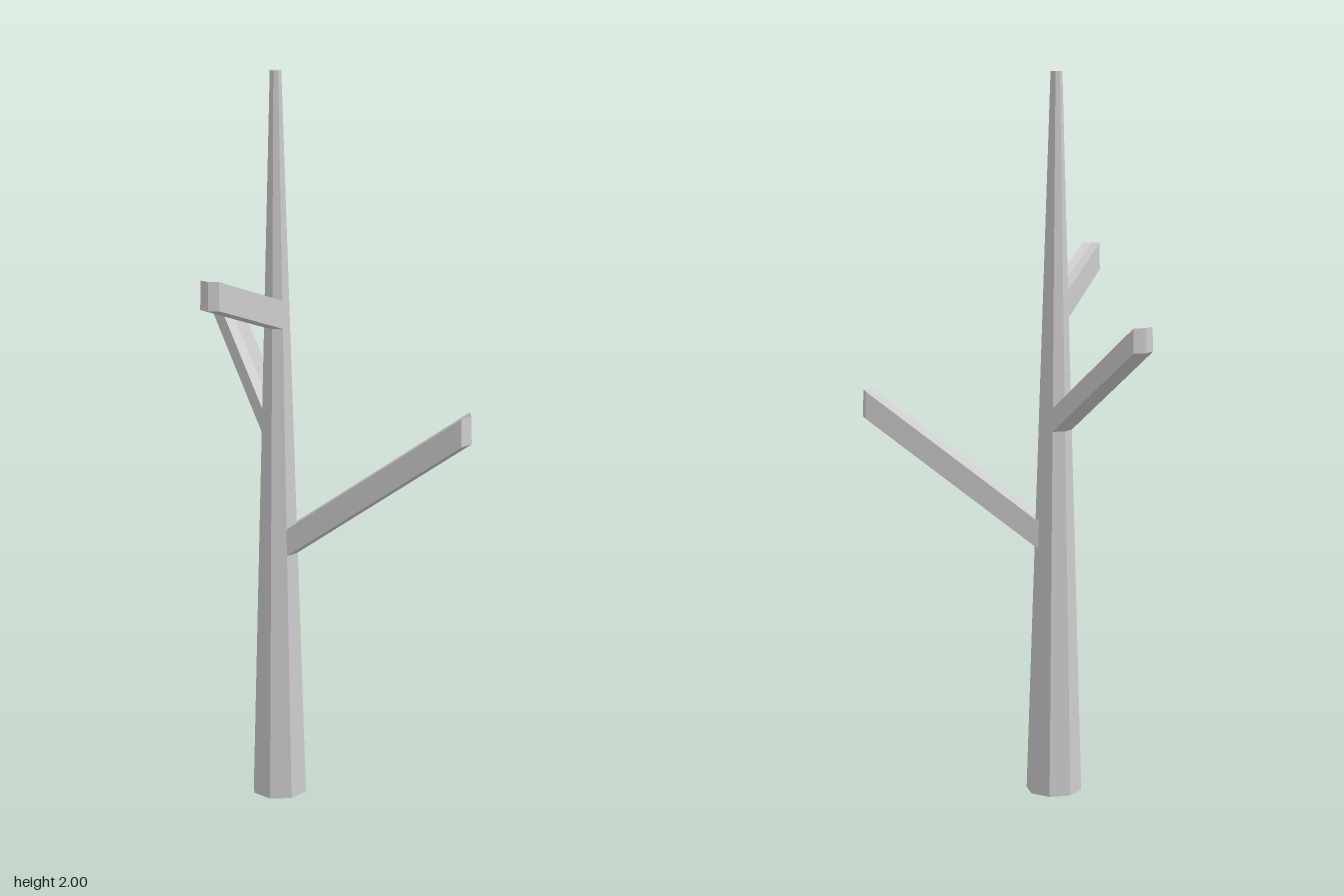
import * as THREE from 'three';

const HEIGHT = 2, R_BASE = 0.078, R_TOP = 0.016, SIDES = 8;
const START = THREE.MathUtils.degToRad(24.5);
const CENTRE = new THREE.Vector3(-0.141, 0, 0.044);

// Corner k of the tapered trunk at height y, relative to the trunk axis
function trunkCorner(k, y) {
  const r = THREE.MathUtils.lerp(R_BASE, R_TOP, y / HEIGHT);
  const a = START + (k * Math.PI * 2) / SIDES;
  return new THREE.Vector3(Math.cos(a) * r, y, Math.sin(a) * r);
}

// A branch pulls two neighbouring trunk faces outwards along one offset
function branchGeometry(firstCorner, yLow, yHigh, offset) {
  const ks = [firstCorner, firstCorner + 1, firstCorner + 2];
  const root = [
    ...ks.map((k) => trunkCorner(k, yLow)),
    ...ks.reverse().map((k) => trunkCorner(k, yHigh)),
  ];
  const tip = root.map((p) => p.clone().add(offset));
  const n = root.length;
  const index = [];
  for (let i = 0; i < n; i++) {
    const j = (i + 1) % n;
    index.push(i, n + i, n + j, i, n + j, j);
  }
  // End cap: two upright faces
  for (const [a, b, c, d] of [[0, 5, 4, 1], [1, 4, 3, 2]]) {
    index.push(n + a, n + b, n + c, n + a, n + c, n + d);
  }
  const geometry = new THREE.BufferGeometry().setFromPoints([...root, ...tip]);
  geometry.setIndex(index);
  const flat = geometry.toNonIndexed();
  flat.computeVertexNormals();
  return flat;
}

export function createModel() {
  const tree = new THREE.Group();
  tree.name = 'bareTree';
  const material = new THREE.MeshStandardMaterial({ color: 0xcccccc, flatShading: true });

  const add = (name, geometry) => {
    const mesh = new THREE.Mesh(geometry, material);
    mesh.name = name;
    mesh.position.copy(CENTRE);
    tree.add(mesh);
  };

  // Tapered eight-sided trunk
  const trunk = new THREE.CylinderGeometry(R_TOP, R_BASE, HEIGHT, SIDES, 1, false, Math.PI / 2 - START);
  trunk.translate(0, HEIGHT / 2, 0);
  add('trunk', trunk);

  // Three branches: first trunk corner, lower and upper root height, offset to the tip
  const branches = [
    ['lowerBranch', -1, 0.7, 0.775, [0.441, 0.35, 0.203]],
    ['middleBranch', 4, 1.03, 1.095, [-0.115, 0.26, -0.355]],
    ['upperBranch', 1, 1.325, 1.4, [-0.178, 0.11, 0.277]],
  ];
  for (const [name, corner, low, high, offset] of branches) {
    add(name, branchGeometry(corner, low, high, new THREE.Vector3(...offset)));
  }
  return tree;
}
